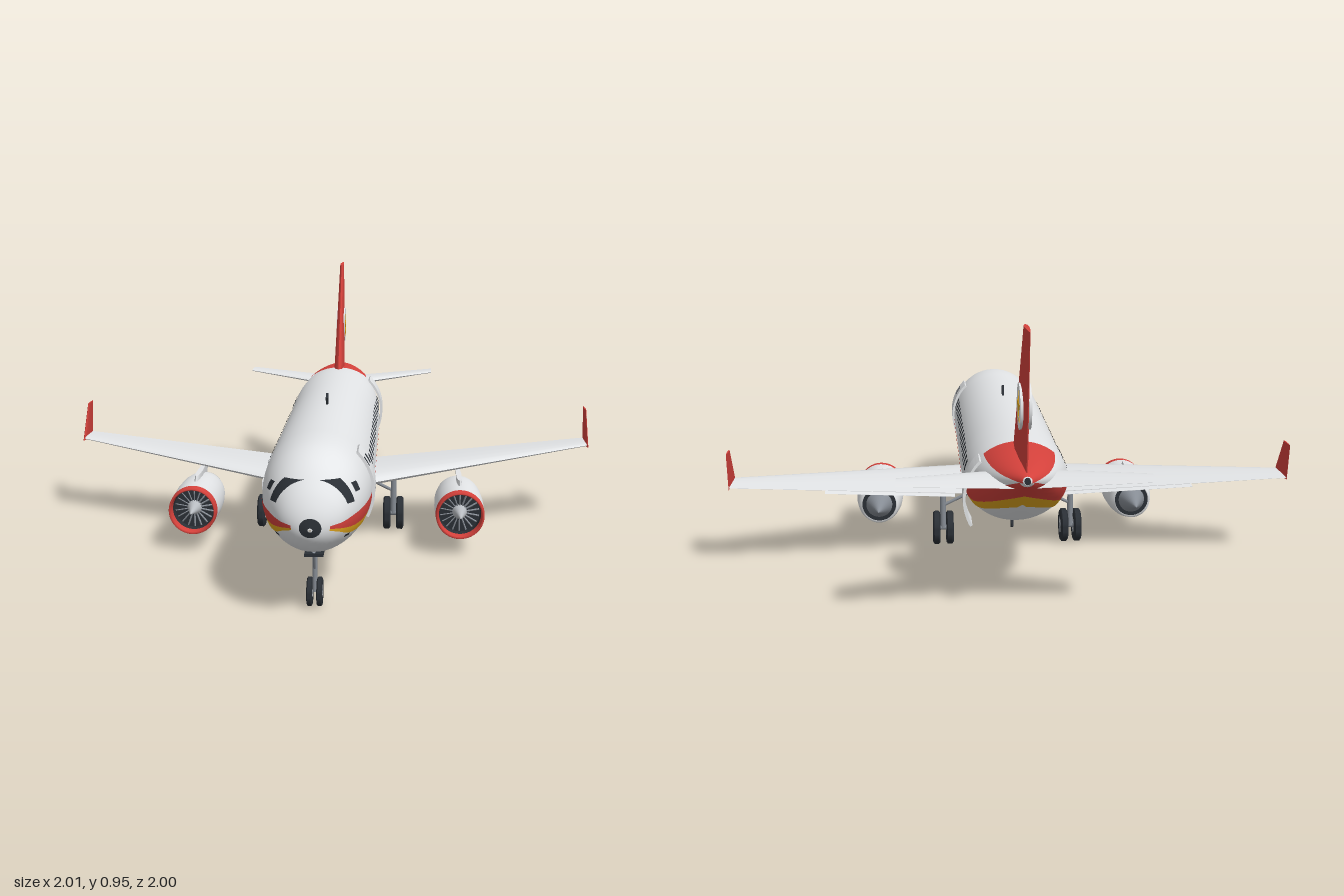
import * as THREE from 'three';
import { mergeVertices, toCreasedNormals } from 'three/addons/utils/BufferGeometryUtils.js';

const mat = (name, color, side = THREE.FrontSide) => {
  const m = new THREE.MeshStandardMaterial({ color, side });
  m.name = name;
  return m;
};
const V = (x, y, z) => new THREE.Vector3(x, y, z);

// Smooth lookup in a table of rows [z, ...values], z falling
function at(table, z) {
  const n = table.length;
  let i = 0;
  while (i < n - 2 && z < table[i + 1][0]) i++;
  const a = table[i], b = table[i + 1], h = b[0] - a[0];
  const t = THREE.MathUtils.clamp((z - a[0]) / h, 0, 1);
  const slope = (j, k) => {
    const p = table[Math.max(j - 1, 0)], q = table[Math.min(j + 1, n - 1)];
    return (q[k] - p[k]) / (q[0] - p[0]);
  };
  return a.slice(1).map((_, c) => {
    const k = c + 1, t2 = t * t, t3 = t2 * t;
    return (2 * t3 - 3 * t2 + 1) * a[k] + (t3 - 2 * t2 + t) * h * slope(i, k)
      + (3 * t2 - 2 * t3) * b[k] + (t3 - t2) * h * slope(i + 1, k);
  });
}

// Fuselage stations: z, top, bottom, half width
const HULL = [
  [1, 0.313, 0.307, 0.004], [0.992, 0.352, 0.281, 0.04], [0.975, 0.39, 0.257, 0.073], [0.95, 0.426, 0.236, 0.1],
  [0.9, 0.476, 0.211, 0.131], [0.85, 0.505, 0.196, 0.152], [0.78, 0.525, 0.184, 0.168], [0.68, 0.533, 0.179, 0.177],
  [0.55, 0.533, 0.178, 0.179], [0, 0.533, 0.178, 0.179], [-0.22, 0.533, 0.18, 0.179], [-0.4, 0.533, 0.204, 0.178],
  [-0.55, 0.533, 0.25, 0.168], [-0.7, 0.528, 0.33, 0.134], [-0.82, 0.517, 0.41, 0.085], [-0.9, 0.506, 0.458, 0.036],
  [-0.93, 0.5, 0.476, 0.012],
];
// Stripe heights: z, red top, red bottom, yellow bottom
const STRIPE = [
  [0.985, 0.32, 0.312, 0.307], [0.9, 0.338, 0.3, 0.278], [0.75, 0.352, 0.303, 0.277], [0.5, 0.355, 0.305, 0.278],
  [-0.3, 0.355, 0.305, 0.278], [-0.5, 0.362, 0.312, 0.286], [-0.65, 0.39, 0.345, 0.322], [-0.8, 0.437, 0.4, 0.38],
  [-0.92, 0.482, 0.468, 0.458],
];

function grid(nu, nv, fn) {
  const pos = [], idx = [];
  for (let i = 0; i <= nu; i++) for (let j = 0; j <= nv; j++) pos.push(...fn(i / nu, j / nv, i, j));
  for (let i = 0; i < nu; i++) for (let j = 0; j < nv; j++) {
    const a = i * (nv + 1) + j, b = a + nv + 1;
    idx.push(a, b, a + 1, b, b + 1, a + 1);
  }
  const g = new THREE.BufferGeometry();
  g.setAttribute('position', new THREE.Float32BufferAttribute(pos, 3));
  g.setIndex(idx);
  return g;
}
function hullPoint(z, angle, off = 0) {
  const [top, bot, w] = at(HULL, z);
  return [(w + off) * Math.cos(angle), (top + bot) / 2 + ((top - bot) / 2 + off) * Math.sin(angle), z];
}
// Painted patch on the +x skin between heights lo(z) and hi(z)
function skin(z0, z1, lo, hi, nu = 2, nv = 4, off = 0.003) {
  const g = grid(nu, nv, (u, v) => {
    const z = z0 + (z1 - z0) * u;
    const [top, bot] = at(HULL, z);
    const ang = y => Math.asin(THREE.MathUtils.clamp((y - (top + bot) / 2) / ((top - bot) / 2), -1, 1));
    return hullPoint(z, THREE.MathUtils.lerp(ang(lo(z)), ang(hi(z)), v), off);
  });
  g.computeVertexNormals();
  return g;
}
// Aerofoil loft through sections [leading edge, trailing edge, half thickness]
const FOIL = [[0, 0], [0.04, 0.55], [0.15, 0.9], [0.35, 1], [0.65, 0.7], [1, 0.06],
  [1, -0.06], [0.65, -0.7], [0.35, -1], [0.15, -0.9], [0.04, -0.55], [0, 0]];
function foil(sections, axis) {
  const first = sections[0], last = sections[sections.length - 1];
  const all = [[first[0], first[1], 0], ...sections, [last[0], last[1], 0]];
  const g = grid(all.length - 1, FOIL.length - 1, (u, v, i, j) => {
    const [le, te, h] = all[i], [c, t] = FOIL[j];
    return le.clone().lerp(te, c).addScaledVector(axis, h * t).toArray();
  });
  return toCreasedNormals(g, 0.6);
}
const UP = V(0, 1, 0), SIDE = V(-1, 0, 0);

function mirror(geo) {
  const g = mergeVertices(geo.clone());
  g.scale(-1, 1, 1);
  const a = g.index.array;
  for (let i = 0; i < a.length; i += 3) [a[i], a[i + 1]] = [a[i + 1], a[i]];
  return g;
}
function rod(a, b, r) {
  const d = b.clone().sub(a);
  const g = new THREE.CylinderGeometry(r, r, d.length(), 12);
  g.applyQuaternion(new THREE.Quaternion().setFromUnitVectors(UP, d.normalize()));
  return g.translate((a.x + b.x) / 2, (a.y + b.y) / 2, (a.z + b.z) / 2);
}
const lathe = pts => new THREE.LatheGeometry(pts.map(p => new THREE.Vector2(...p)), 40).rotateX(Math.PI / 2);

export function createModel() {
  const white = mat('white paint', 0xe4e6e8), red = mat('red paint', 0xd6423c), yellow = mat('yellow paint', 0xe6aa1e);
  const dark = mat('dark glass and rubber', 0x2b3036, THREE.DoubleSide), grey = mat('grey metal', 0x868c94);
  const pale = mat('pale metal', 0xb9bdc2);
  const model = new THREE.Group();
  model.name = 'airliner';
  const add = (name, geo, m, parent = model) => {
    const mesh = new THREE.Mesh(geo, m);
    mesh.name = name;
    parent.add(mesh);
    return mesh;
  };
  const pair = (name, geo, m) => { add(name + 'Left', geo, m); add(name + 'Right', mirror(geo), m); };
  const box = (name, size, p, m, rx = 0) => {
    const b = add(name, new THREE.BoxGeometry(...size), m);
    b.position.set(...p);
    b.rotation.x = rx;
  };

  // Fuselage, with rings crowded toward the nose
  let hull = grid(90, 48, (u, v) => hullPoint(1 - 1.93 * Math.pow(u, 1.5), v * Math.PI * 2));
  hull = mergeVertices(hull, 1e-5);
  hull.computeVertexNormals();
  add('fuselage', hull, white);
  add('bellyFairing', new THREE.SphereGeometry(1, 40, 24).scale(0.16, 0.105, 0.3), white).position.set(0, 0.25, -0.01);
  pair('noseCap', skin(0.9995, 0.994, () => 0, () => 1, 4, 24, 0.001), dark);
  add('tailExhaust', new THREE.CylinderGeometry(0.01, 0.01, 0.012, 16).rotateX(Math.PI / 2), dark).position.set(0, 0.488, -0.931);

  // Painted stripes and red tail top
  pair('redStripe', skin(0.985, -0.92, z => at(STRIPE, z)[1], z => at(STRIPE, z)[0], 80, 4), red);
  pair('yellowStripe', skin(0.985, -0.92, z => at(STRIPE, z)[2], z => at(STRIPE, z)[1], 80, 4), yellow);
  pair('tailTop', skin(-0.605, -0.93, z => 0.492 + (z + 0.605) * 0.03, () => 1, 20, 14), red);

  // Cabin and cockpit windows
  for (let i = 0; i < 17; i++) {
    const z = 0.562 - i * 0.0635;
    pair('cabinWindow', skin(z, z - 0.03, () => 0.402, () => 0.438), dark);
  }
  pair('windshield', skin(0.93, 0.9, () => 0.375, () => 0.446, 6, 8), dark);
  pair('cockpitSideWindow', skin(0.882, 0.855, () => 0.4, () => 0.428), dark);
  pair('noseSensor', skin(0.925, 0.9, () => 0.27, () => 0.278), dark);

  // Curved doors
  const door = (low, high, z0, depth) => {
    const s = new THREE.Shape();
    s.absarc(0, 0, 0.188, low, high, false);
    s.absarc(0, 0, 0.179, high, low, true);
    const g = new THREE.ExtrudeGeometry(s, { depth, bevelEnabled: false, curveSegments: 16 });
    return toCreasedNormals(g.translate(0, 0.355, z0), 0.5);
  };
  add('frontDoor', door(-0.47, 0.78, 0.608, 0.11), white);
  add('rearDoor', door(-0.5, 0.78, -0.67, 0.1), white);
  add('cargoDoor', mirror(door(-1.02, 0.03, 0.51, 0.12)), white);
  for (const z of [0.705, 0.66]) add('doorWindow', skin(z + 0.011, z - 0.011, () => 0.433, () => 0.46, 2, 4, 0.012), dark);
  add('doorHandle', skin(0.675, 0.655, () => 0.355, () => 0.361, 2, 2, 0.012), grey);

  // Wings, flaps, winglets and tailplane
  pair('wing', foil([[V(0.08, 0.235, 0.225), V(0.08, 0.235, -0.19), 0.022],
    [V(1, 0.309, -0.175), V(1, 0.309, -0.31), 0.006]], UP), white);
  pair('flap', foil([[V(0.2, 0.228, -0.04), V(0.2, 0.224, -0.18), 0.007],
    [V(0.67, 0.266, -0.14), V(0.67, 0.262, -0.24), 0.005]], UP), white);
  pair('winglet', foil([[V(0.998, 0.302, -0.165), V(0.998, 0.302, -0.31), 0.005],
    [V(0.998, 0.435, -0.255), V(0.998, 0.435, -0.33), 0.003]], SIDE), red);
  pair('tailplane', foil([[V(0.02, 0.45, -0.66), V(0.02, 0.45, -0.875), 0.014],
    [V(0.4, 0.478, -0.835), V(0.4, 0.478, -0.932), 0.005]], UP), white);

  // Fin with a round star badge on each side
  add('fin', foil([[V(0, 0.5, -0.548), V(0, 0.49, -0.9), 0.022],
    [V(0, 0.953, -0.825), V(0, 0.953, -1), 0.008]], SIDE), red);
  const star = new THREE.Shape();
  for (let i = 0; i < 10; i++) {
    const r = i % 2 ? 0.022 : 0.053, a = Math.PI / 2 + i * Math.PI / 5;
    star[i ? 'lineTo' : 'moveTo'](r * Math.cos(a), r * Math.sin(a));
  }
  const disc = new THREE.CylinderGeometry(0.073, 0.073, 0.009, 40).rotateZ(Math.PI / 2).translate(0.0135, 0.695, -0.806);
  pair('badge', disc, white);
  const starGeo = new THREE.ExtrudeGeometry(star, { depth: 0.003, bevelEnabled: false });
  pair('badgeStar', starGeo.rotateY(Math.PI / 2).translate(0.0165, 0.692, -0.806), yellow);

  // Engines under the wings
  for (const s of [1, -1]) {
    const e = new THREE.Group();
    e.name = s > 0 ? 'engineLeft' : 'engineRight';
    e.position.set(s * 0.485, 0.15, 0);
    model.add(e);
    add('nacelle', lathe([[0.06, 0], [0.068, -0.025], [0.08, 0.02], [0.087, 0.07], [0.09, 0.15], [0.088, 0.255]]), white, e);
    add('intakeLip', lathe([[0.088, 0.255], [0.087, 0.283], [0.083, 0.293], [0.078, 0.285], [0.076, 0.255]]), red, e);
    add('intakeDuct', lathe([[0.076, 0.256], [0.074, 0.22]]), dark, e);
    add('fanDisc', new THREE.CircleGeometry(0.076, 40), dark, e).position.z = 0.23;
    for (let i = 0; i < 18; i++) {
      const blade = new THREE.BoxGeometry(0.003, 0.05, 0.006).rotateY(0.5).translate(0, 0.046, 0.233);
      add('fanBlade', blade.rotateZ(i * Math.PI / 9), grey, e);
    }
    add('spinner', new THREE.ConeGeometry(0.027, 0.095, 24).rotateX(Math.PI / 2), pale, e).position.z = 0.277;
    add('exhaustRing', new THREE.CircleGeometry(0.066, 40).rotateY(Math.PI), dark, e).position.z = -0.012;
    add('exhaustCone', new THREE.ConeGeometry(0.05, 0.11, 32).rotateX(-Math.PI / 2), grey, e).position.z = -0.066;
    add('pylon', foil([[V(0, 0.06, 0.23), V(0, 0.06, -0.06), 0.01], [V(0, 0.106, 0.19), V(0, 0.106, -0.1), 0.01]], SIDE), white, e);
  }

  // Landing gear
  const wheel = (x, y, z, r, w) => {
    const g = new THREE.Group();
    g.name = 'wheel';
    g.position.set(x, y, z);
    model.add(g);
    const h = w / 2;
    const tyre = [[0.5 * r, -h], [0.88 * r, -h], [r, -h * 0.6], [r, h * 0.6], [0.88 * r, h], [0.5 * r, h]];
    add('tyre', toCreasedNormals(lathe(tyre), 0.7).rotateY(Math.PI / 2), dark, g);
    add('hub', new THREE.CylinderGeometry(0.52 * r, 0.52 * r, w * 0.9, 24).rotateZ(Math.PI / 2), pale, g);
    add('hubCap', new THREE.CylinderGeometry(0.2 * r, 0.2 * r, w * 1.05, 16).rotateZ(Math.PI / 2), grey, g);
  };
  for (const s of [1, -1]) {
    for (const d of [-0.025, 0.025]) wheel(s * (0.243 + d), 0.063, -0.04, 0.063, 0.028);
    add('mainStrut', rod(V(s * 0.243, 0.063, -0.04), V(s * 0.243, 0.235, -0.04), 0.011), grey);
    add('mainBrace', rod(V(s * 0.243, 0.15, -0.04), V(s * 0.14, 0.2, -0.04), 0.006), grey);
    wheel(s * 0.016, 0.047, 0.805, 0.047, 0.018);
  }
  add('mainAxles', rod(V(-0.265, 0.063, -0.04), V(-0.22, 0.063, -0.04), 0.01), grey);
  add('mainAxles', rod(V(0.22, 0.063, -0.04), V(0.265, 0.063, -0.04), 0.01), grey);
  add('noseStrut', rod(V(0, 0.047, 0.805), V(0, 0.19, 0.805), 0.008), grey);
  add('noseBrace', rod(V(0, 0.12, 0.805), V(0, 0.19, 0.84), 0.005), grey);
  box('noseGearBay', [0.06, 0.01, 0.09], [0, 0.182, 0.805], dark);

  // Blade aerials on the roof and belly
  box('roofAerial', [0.008, 0.045, 0.035], [0, 0.545, 0.178], dark, 0.35);
  box('bellyAerial', [0.008, 0.045, 0.03], [0, 0.168, -0.305], dark, 0.35);
  return model;
}
